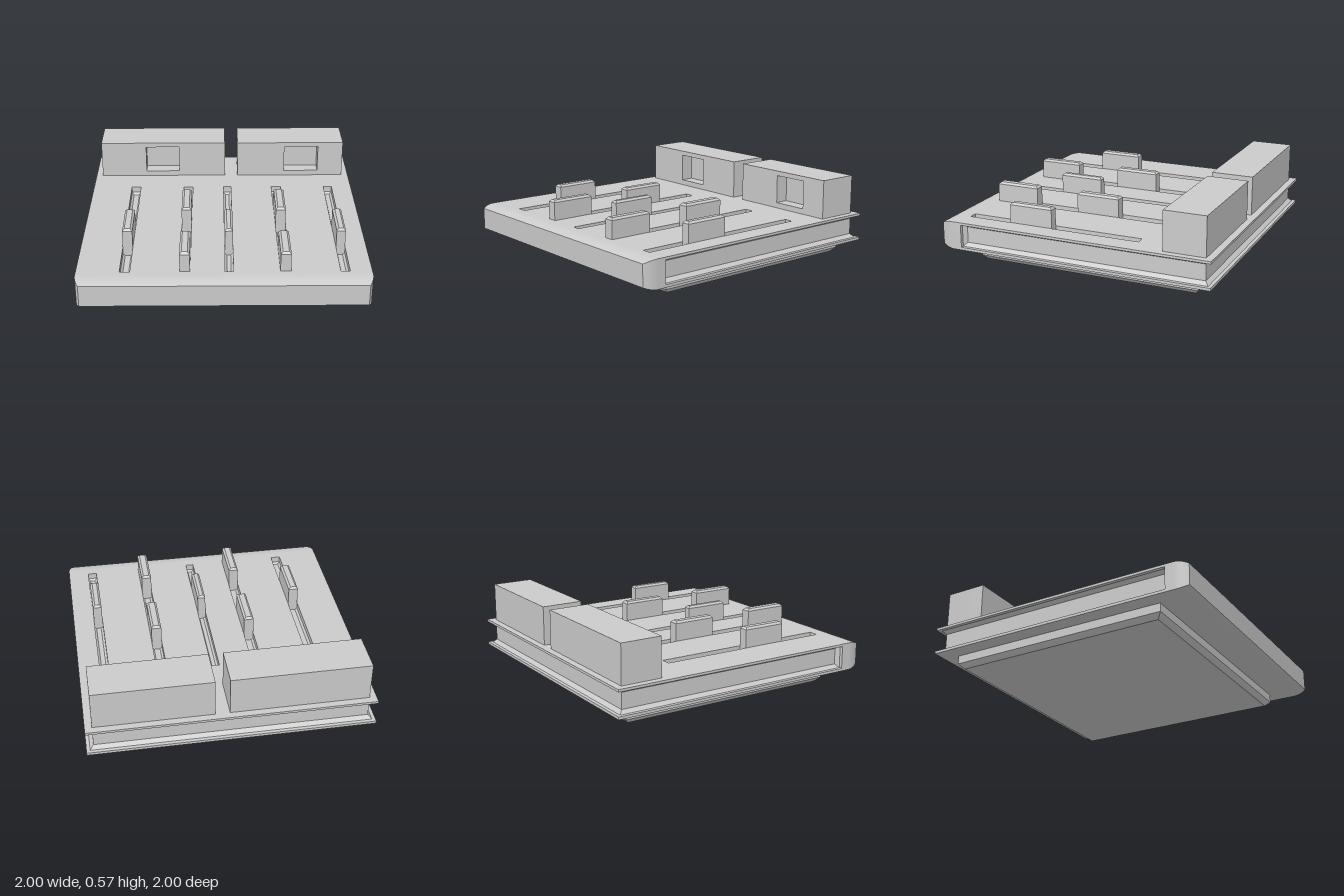
import * as THREE from 'three';
import { toCreasedNormals } from 'three/addons/utils/BufferGeometryUtils.js';

const material = new THREE.MeshStandardMaterial({ color: 0xcccccc });

// Joins rectangular rings [x0, x1, z0, z1, y] into a surface.
// Rising rings face outward, falling rings face inward (a recess).
function loft(rings, startCap, endCap) {
  const pos = [];
  const corners = rings.map(([x0, x1, z0, z1, y]) =>
    [[x0, y, z1], [x1, y, z1], [x1, y, z0], [x0, y, z0]]);
  const quad = (a, b, c, d) => pos.push(...a, ...b, ...c, ...a, ...c, ...d);
  for (let r = 0; r < corners.length - 1; r++) {
    const a = corners[r], b = corners[r + 1];
    for (let i = 0; i < 4; i++) {
      const j = (i + 1) % 4;
      quad(a[i], a[j], b[j], b[i]);
    }
  }
  const first = corners[0], last = corners[corners.length - 1];
  if (startCap) quad(first[3], first[2], first[1], first[0]);
  if (endCap) quad(...last);
  const geo = new THREE.BufferGeometry();
  geo.setAttribute('position', new THREE.Float32BufferAttribute(pos, 3));
  return toCreasedNormals(geo, 0.5);
}

// Loft along z, with rings [x0, x1, halfHeight, z] centred on mid-slab height
function loftZ(rings) {
  const geo = loft(rings.map(([x0, x1, h, z]) => [x0, x1, -h, h, z]), true, true);
  return geo.rotateX(Math.PI / 2).translate(0, 0.195, 0);
}

function rect(Type, x0, x1, y0, y1) {
  return new Type([[x0, y0], [x1, y0], [x1, y1], [x0, y1]].map(p => new THREE.Vector2(...p)));
}

function box(x0, x1, y0, y1, z0, z1) {
  return new THREE.BoxGeometry(x1 - x0, y1 - y0, z1 - z0)
    .translate((x0 + x1) / 2, (y0 + y1) / 2, (z0 + z1) / 2);
}

export function createModel() {
  const model = new THREE.Group();
  const add = (name, geo) => {
    const mesh = new THREE.Mesh(geo, material);
    mesh.name = name;
    model.add(mesh);
  };

  const TOP = 0.295, FLOOR = 0.235, BEVEL = 0.015;
  const SLOT_BACK = -0.44, SLOT_FRONT = 0.85;
  // Each slot: x range and the z starts of its sliders
  const slots = [
    [-0.705, -0.635, [0.205]],
    [-0.3, -0.23, [-0.115, 0.53]],
    [0.008, 0.065, [0.205]],
    [0.38, 0.452, [-0.115, 0.53]],
    [0.787, 0.85, [0.205]],
  ];

  // Top plate pierced by the slots
  const plate = rect(THREE.Shape, -1, 1, -0.86, 1);
  for (const [x0, x1] of slots) plate.holes.push(rect(THREE.Path, x0, x1, -SLOT_FRONT, -SLOT_BACK));
  add('topPlate', new THREE.ExtrudeGeometry(plate, { depth: 0.018, bevelEnabled: false })
    .rotateX(-Math.PI / 2).translate(0, TOP - 0.018, 0));
  add('bottomPlate', box(-1, 1, 0.095, 0.115, -1, 0.86));

  // Grooved wall between the plates
  const wall = [[0.975, 0.115], [0.95, 0.14], [0.95, 0.254], [0.975, 0.277]];
  add('grooveWall', loft(wall.map(([r, y]) => [-r, r, -r, 0.87, y]), false, false));

  // Rounded front bar, and the bevelled ends of the side grooves
  const bar = [[-1, 1, 0.1, 0.86]];
  for (let i = 0; i <= 8; i++) {
    const t = i / 8, hx = 1 - 0.03 * t * t;
    bar.push([-hx, hx, 0.1 - 0.023 * t * t, 0.9 + 0.1 * t]);
  }
  add('frontBar', loftZ(bar));
  const end = [[0.95, 0.0575, 0.815], [0.975, 0.081, 0.84], [1, 0.1, 0.84], [1, 0.1, 0.86]];
  add('leftGrooveEnd', loftZ(end.map(([x, h, z]) => [0.9, x, h, z])));
  add('rightGrooveEnd', loftZ(end.map(([x, h, z]) => [-x, -0.9, h, z])));

  // Slot recesses and the sliders standing in them
  for (const [x0, x1, starts] of slots) {
    add('slot', loft([
      [x0, x1, SLOT_BACK, SLOT_FRONT, TOP - 0.018],
      [x0, x1, SLOT_BACK, SLOT_FRONT, FLOOR + BEVEL],
      [x0 + BEVEL, x1 - BEVEL, SLOT_BACK + BEVEL, SLOT_FRONT - BEVEL, FLOOR],
    ], false, true));
    for (const z of starts) {
      const z1 = z + 0.32;
      add('slider', loft([
        [x0, x1, z, z1, FLOOR],
        [x0, x1, z, z1, 0.425],
        [x0 + BEVEL, x1 - BEVEL, z + BEVEL, z1 - BEVEL, 0.44],
      ], true, true));
    }
  }

  // Rear housings, each with a square pocket in its front
  for (const [x0, x1, p0, p1] of [[-0.95, 0.02, -0.6, -0.34], [0.12, 0.95, 0.49, 0.755]]) {
    const face = rect(THREE.Shape, x0, x1, TOP, 0.575);
    face.holes.push(rect(THREE.Path, p0, p1, 0.335, 0.54));
    add('housingFront', new THREE.ExtrudeGeometry(face, { depth: 0.1, bevelEnabled: false })
      .translate(0, 0, -0.75));
    add('housingBack', box(x0, x1, TOP, 0.575, -0.95, -0.75));
  }

  // Foot with a bevelled lower edge
  add('foot', loft([
    [-0.85, 0.85, -0.845, 0.71, 0],
    [-0.86, 0.86, -0.855, 0.72, 0.008],
    [-0.885, 0.885, -0.88, 0.745, 0.035],
    [-0.885, 0.885, -0.88, 0.745, 0.097],
  ], true, true));

  return model;
}
